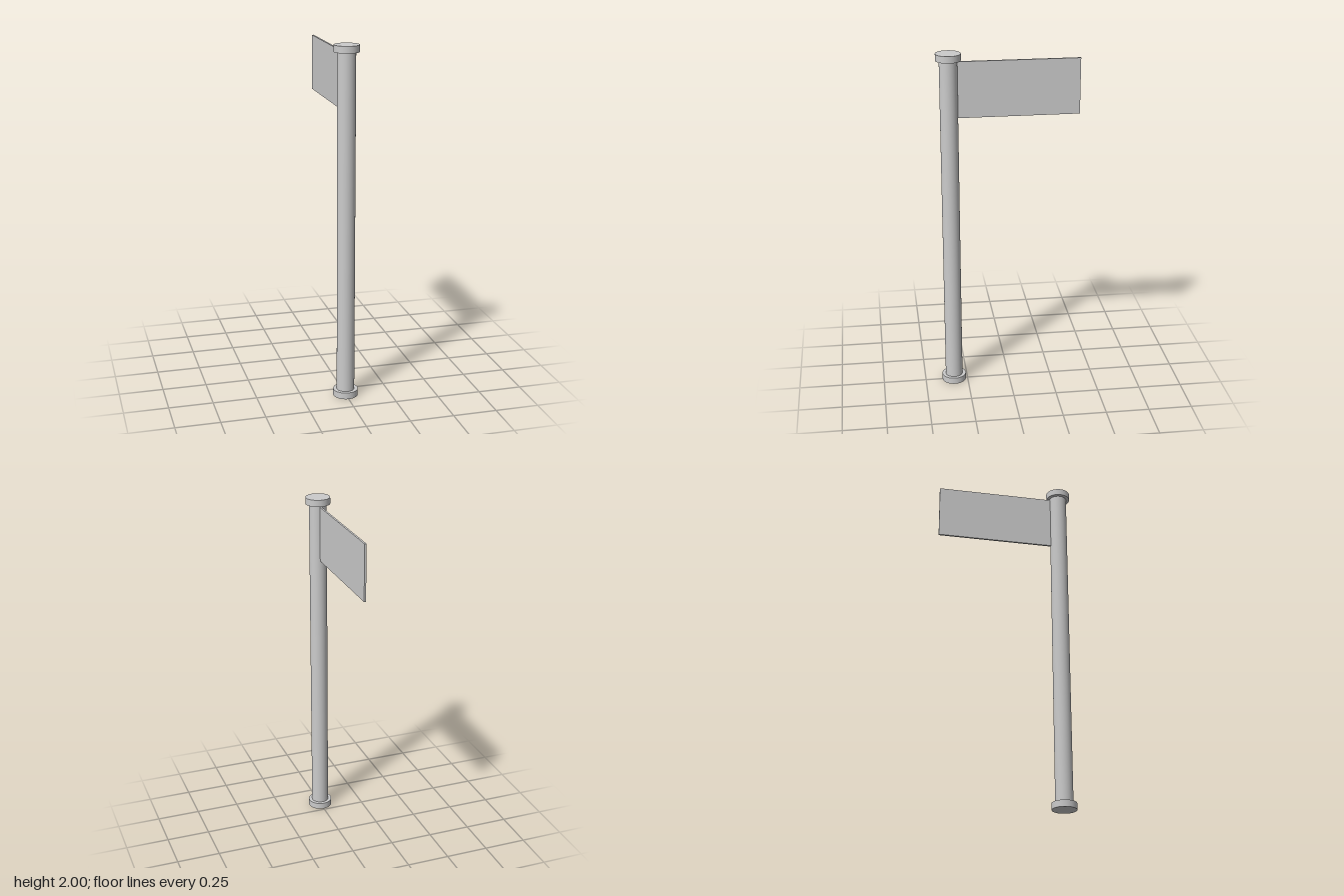
import * as THREE from 'three';

export function createModel() {
  const group = new THREE.Group();
  group.name = 'flagPole';
  const material = new THREE.MeshStandardMaterial({ color: 0xcccccc });
  const poleZ = 0.33;
  const capHeight = 0.038;

  const add = (name, geometry, y, z) => {
    const mesh = new THREE.Mesh(geometry, material);
    mesh.name = name;
    mesh.position.set(0, y, z);
    group.add(mesh);
  };

  // Round pole between two wider discs
  add('pole', new THREE.CylinderGeometry(0.05, 0.05, 2 - 2 * capHeight, 64), 1, poleZ);
  for (const [name, y] of [['baseCap', capHeight / 2], ['topCap', 2 - capHeight / 2]]) {
    add(name, new THREE.CylinderGeometry(0.07, 0.07, capHeight, 64), y, poleZ);
  }

  // Thin flat panel reaching backwards, its inner edge sunk into the pole
  const panelFront = 0.29, panelBack = -0.4;
  add('flagPanel', new THREE.BoxGeometry(0.011, 0.318, panelFront - panelBack), 1.795, (panelFront + panelBack) / 2);

  return group;
}
